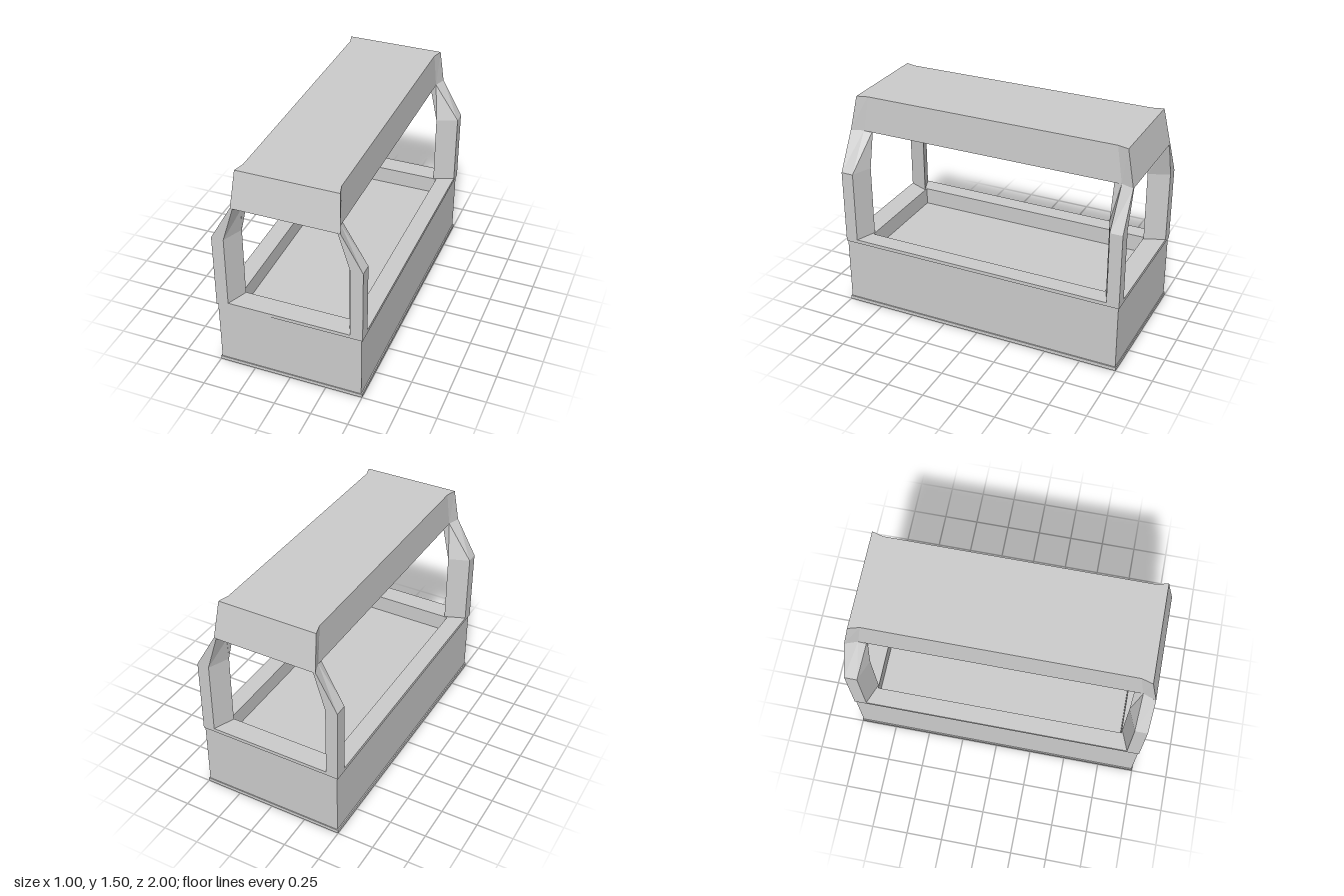
import * as THREE from 'three';

const material = new THREE.MeshStandardMaterial({ color: 0xcccccc, flatShading: true, side: THREE.DoubleSide });

// Signed area of a ring of [x, z] corners, seen from above
const area = (pts) => THREE.ShapeUtils.area(pts.map(([x, z]) => new THREE.Vector2(x, -z)));

// Faceted solid through a sequence of { y, pts } rings, closed at both ends
function loft(name, rings) {
  const pos = [];
  const loops = rings.map(({ y, pts }) => {
    const ordered = area(pts) < 0 ? [...pts].reverse() : pts;
    return ordered.map(([x, z]) => [x, y, z]);
  });
  const tri = (a, b, c) => pos.push(...a, ...b, ...c);
  const n = loops[0].length;
  for (let k = 0; k < loops.length - 1; k++) {
    for (let i = 0; i < n; i++) {
      const j = (i + 1) % n;
      const [a, b, c, d] = [loops[k][i], loops[k][j], loops[k + 1][j], loops[k + 1][i]];
      tri(a, b, c);
      tri(a, c, d);
    }
  }
  const cap = (loop, flip) => {
    const contour = loop.map(([x, , z]) => new THREE.Vector2(x, -z));
    for (const [a, b, c] of THREE.ShapeUtils.triangulateShape(contour, [])) {
      if (flip) tri(loop[a], loop[c], loop[b]);
      else tri(loop[a], loop[b], loop[c]);
    }
  };
  cap(loops[0], true);
  cap(loops[loops.length - 1], false);
  const geometry = new THREE.BufferGeometry();
  geometry.setAttribute('position', new THREE.Float32BufferAttribute(pos, 3));
  geometry.computeVertexNormals();
  const mesh = new THREE.Mesh(geometry, material);
  mesh.name = name;
  return mesh;
}

const rect = (y, x, z) => ({ y, pts: [[x, z], [x, -z], [-x, -z], [-x, z]] });

// Roof outline: straight sides that flare out to the corners at each end
const flared = (y, endX, endZ, sideX, sideZ) => ({
  y,
  pts: [
    [endX, endZ], [sideX, sideZ], [sideX, -sideZ], [endX, -endZ],
    [-endX, -endZ], [-sideX, -sideZ], [-sideX, sideZ], [-endX, endZ],
  ],
});

export function createModel() {
  const group = new THREE.Group();

  // Base plate
  const plate = new THREE.Mesh(new THREE.BoxGeometry(1, 0.025, 2), material);
  plate.position.y = 0.0125;
  plate.name = 'basePlate';
  group.add(plate);

  // Counter body with a projecting rim and a sunken tray
  group.add(loft('counter', [
    rect(0.025, 0.492, 0.994),
    rect(0.475, 0.492, 0.994),
    rect(0.475, 0.5, 1),
    rect(0.5, 0.5, 1),
    rect(0.5, 0.38, 0.857),
    rect(0.38, 0.38, 0.857),
  ]));

  // Four kite-shaped corner posts, bending inwards above the shoulder
  const shoulder = [[0.5, 1], [0.417, 1], [0.358, 0.86], [0.5, 0.915]];
  const head = [[0.355, 1], [0.338, 1], [0.303, 0.86], [0.325, 0.915]];
  for (const sx of [1, -1]) {
    for (const sz of [1, -1]) {
      const mirror = (pts) => pts.map(([x, z]) => [x * sx, z * sz]);
      group.add(loft(`${sz > 0 ? 'front' : 'back'}${sx > 0 ? 'Left' : 'Right'}Post`, [
        { y: 0.5, pts: mirror(shoulder) },
        { y: 1, pts: mirror(shoulder) },
        { y: 1.255, pts: mirror(head) },
      ]));
    }
  }

  // Hollow roof: inner shell down to the lower lip, then the outer shell up
  group.add(loft('roof', [
    flared(1.48, 0.313, 0.935, 0.297, 0.87),
    flared(1.252, 0.333, 0.98, 0.305, 0.91),
    flared(1.252, 0.355, 1, 0.325, 0.915),
    flared(1.5, 0.336, 0.95, 0.315, 0.875),
  ]));

  return group;
}
